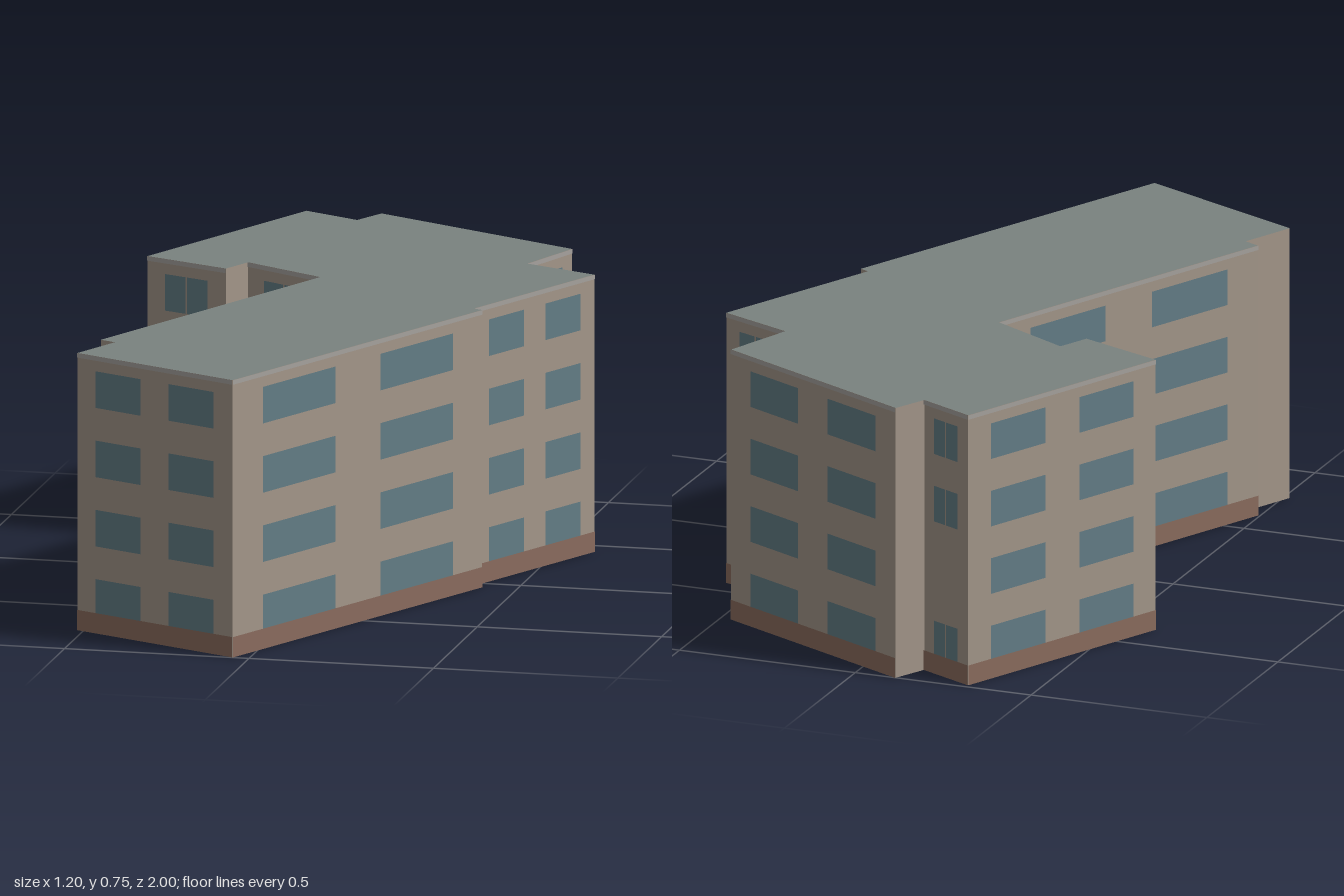
import * as THREE from 'three';

const HEIGHT = 0.75, BASE = 0.055, STOREY = 0.1875, SKIN = 0.002;

// Footprint corners [x, z, window style of the wall that starts here]
// pair: two wide windows, single: one divided window,
// stair: divided window with one storey left out, blank: bare wall
const OUTLINE = [
  [-0.315, -0.985, 'stair'], [-0.16, -0.91, 'blank'], [-0.115, -1.0, 'pair'],
  [0.47, -0.71, 'stair'], [0.395, -0.515, 'stair'], [0.597, -0.43, 'pair'],
  [0.38, 0.03, 'blank'], [0.405, 0.043, 'pair'], [-0.045, 0.997, 'pair'],
  [-0.517, 0.78, 'blank'], [-0.45, 0.635, 'blank'], [-0.493, 0.615, 'pair'],
  [-0.10, -0.235, 'single'], [-0.325, -0.36, 'blank'], [-0.365, -0.275, 'single'],
  [-0.60, -0.37, 'pair'],
];

// Window panes as [start, end] fractions of the wall length
const PANES = {
  pair: [[0.12, 0.41], [0.59, 0.88]],
  single: [[0.23, 0.49], [0.51, 0.77]],
  stair: [[0.23, 0.49], [0.51, 0.77]],
  blank: [],
};

const paint = (color, side = THREE.FrontSide) => {
  const m = new THREE.MeshStandardMaterial({ color });
  m.side = side;
  return m;
};

export function createModel() {
  const model = new THREE.Group();
  model.name = 'apartmentBlock';
  const wallMat = paint(0xa39689, THREE.DoubleSide);
  const roofMat = paint(0x7a827f, THREE.DoubleSide);
  const glassMat = paint(0x637d86);
  const baseMat = paint(0x8a6c5e);
  const trimMat = paint(0xa6a29e);

  // Flat rectangle on a wall, local x along the wall and y up from the ground
  const panel = (parent, name, mat, x0, x1, y0, y1, z) => {
    const mesh = new THREE.Mesh(new THREE.PlaneGeometry(x1 - x0, y1 - y0), mat);
    mesh.position.set((x0 + x1) / 2, (y0 + y1) / 2, z);
    mesh.name = name;
    parent.add(mesh);
  };

  // Walls with plinth, top trim and windows
  OUTLINE.forEach(([x, z, style], i) => {
    const [x2, z2] = OUTLINE[(i + 1) % OUTLINE.length];
    const dx = x2 - x, dz = z2 - z, len = Math.hypot(dx, dz), h = len / 2;
    const wall = new THREE.Group();
    wall.name = 'wall' + (i + 1);
    wall.position.set((x + x2) / 2, 0, (z + z2) / 2);
    wall.rotation.y = Math.atan2(dz, -dx);
    model.add(wall);

    panel(wall, 'wallSurface', wallMat, -h, h, 0, HEIGHT, 0);
    if (style === 'blank') return;
    panel(wall, 'plinth', baseMat, -h, h, 0, BASE, SKIN);
    panel(wall, 'topTrim', trimMat, -h, h, HEIGHT - 0.012, HEIGHT, SKIN);
    for (let row = 0; row < 4; row++) {
      if (style === 'stair' && row === 1) continue;
      const y = 0.048 + row * STOREY;
      for (const [a, b] of PANES[style]) {
        panel(wall, 'window', glassMat, a * len - h, b * len - h,
          Math.max(y, BASE), y + 0.099, SKIN);
      }
    }
  });

  // Flat roof over the footprint; the underside of the building is open
  const shape = new THREE.Shape(OUTLINE.map(([x, z]) => new THREE.Vector2(x, -z)));
  const roof = new THREE.Mesh(new THREE.ShapeGeometry(shape).rotateX(-Math.PI / 2), roofMat);
  roof.position.y = HEIGHT;
  roof.name = 'roof';
  model.add(roof);

  return model;
}
